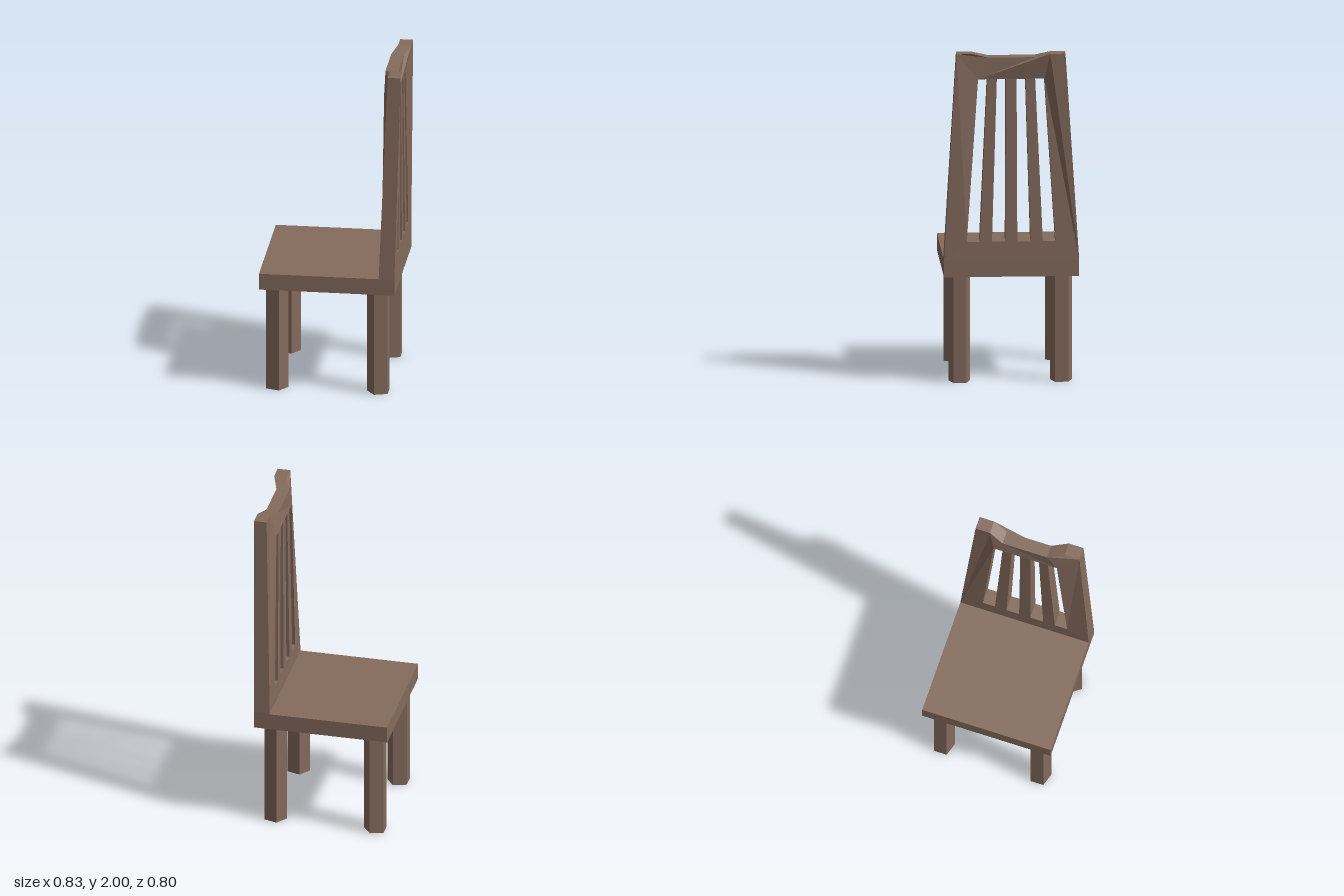
import * as THREE from 'three';

const wood = new THREE.MeshStandardMaterial({ color: 0x856b5d });
wood.name = 'brownWood';

function addPart(parent, name, geometry) {
  const mesh = new THREE.Mesh(geometry, wood);
  mesh.name = name;
  parent.add(mesh);
  return mesh;
}

// Slatted backrest: outline in (z, y) with four tapering slots, then leaned
function backrestGeometry() {
  const base = 0.748, railTop = 1.97;
  const points = (list) => list.map(([z, y]) => new THREE.Vector2(-z, y));
  const shape = new THREE.Shape(points([
    [0.4, base], [-0.4, base], [-0.318, 1.995], [-0.228, 1.995],
    [-0.14, railTop], [0.137, railTop], [0.235, 2], [0.327, 2],
  ]));
  // Each slot: bottom edges, then top edges
  const slots = [
    [0.265, 0.188, 0.198, 0.143],
    [0.116, 0.036, 0.087, 0.033],
    [-0.034, -0.113, -0.03, -0.083],
    [-0.185, -0.26, -0.14, -0.195],
  ];
  for (const [b0, b1, t0, t1] of slots) {
    shape.holes.push(new THREE.Path(points([[b0, 0.86], [b1, 0.86], [t1, 1.84], [t0, 1.84]])));
  }
  const geometry = new THREE.ExtrudeGeometry(shape, { depth: 1, bevelEnabled: false });
  geometry.rotateY(Math.PI / 2);

  // Thin towards the top and push the raised corners backwards
  const p = geometry.attributes.position;
  for (let i = 0; i < p.count; i++) {
    const y = p.getY(i), t = (y - base) / (railTop - base);
    const x = p.getX(i) > 0.5 ? 0.389 - 0.009 * t : 0.295 + 0.008 * t;
    const lean = y > 1.98 ? (p.getZ(i) > 0 ? 0.037 : 0.03) : 0;
    p.setX(i, x + lean);
  }
  geometry.computeVertexNormals();
  return geometry;
}

// Five-sided leg with its point towards +x
function legGeometry() {
  const geometry = new THREE.CylinderGeometry(0.07, 0.07, 0.65, 5, 1, false, Math.PI / 2).toNonIndexed();
  geometry.scale(1, 1, 0.96);
  geometry.computeVertexNormals();
  return geometry;
}

export function createModel() {
  const chair = new THREE.Group();
  chair.name = 'chair';

  // Seat slab
  addPart(chair, 'seat', new THREE.BoxGeometry(0.807, 0.1, 0.8)).position.set(-0.0145, 0.698, 0);

  addPart(chair, 'backrest', backrestGeometry());

  // Legs, with flat sides facing outwards
  const leg = legGeometry();
  for (const [end, x, turn] of [['front', -0.325, 0], ['rear', 0.285, Math.PI]]) {
    for (const [side, z] of [['Left', 0.303], ['Right', -0.299]]) {
      const mesh = addPart(chair, `${end}${side}Leg`, leg);
      mesh.position.set(x, 0.325, z);
      mesh.rotation.y = turn;
    }
  }
  return chair;
}
